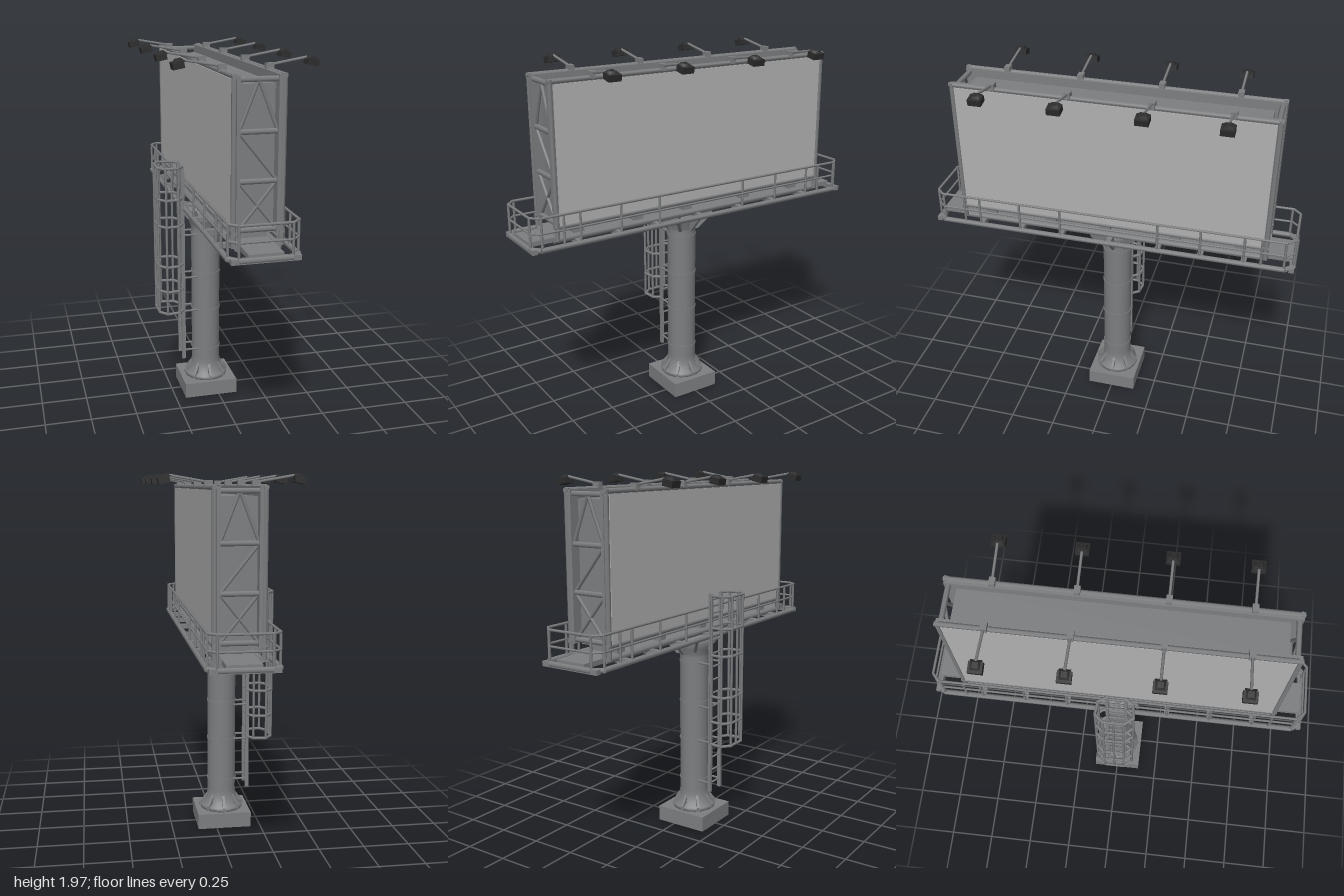
import * as THREE from 'three';

const mat = (name, color) => {
  const m = new THREE.MeshStandardMaterial({ color });
  m.name = name;
  return m;
};

export function createModel() {
  const steel = mat('steel grey', 0x7c7e80);
  const panel = mat('panel grey', 0xb0b0b0);
  const black = mat('lamp black', 0x2c2c2d);
  const model = new THREE.Group();
  model.name = 'billboard';

  const group = (name) => {
    const g = new THREE.Group();
    g.name = name;
    model.add(g);
    return g;
  };
  const add = (parent, name, geo, m, x = 0, y = 0, z = 0) => {
    const mesh = new THREE.Mesh(geo, m);
    mesh.name = name;
    mesh.position.set(x, y, z);
    parent.add(mesh);
    return mesh;
  };
  // Box given by its minimum and maximum corners
  const box = (parent, name, a, b, m = steel) =>
    add(parent, name, new THREE.BoxGeometry(b[0] - a[0], b[1] - a[1], b[2] - a[2]), m,
      (a[0] + b[0]) / 2, (a[1] + b[1]) / 2, (a[2] + b[2]) / 2);
  // Round bar between two points
  const bar = (parent, name, a, b, r, m = steel) => {
    const p = new THREE.Vector3(...a), q = new THREE.Vector3(...b);
    const d = q.clone().sub(p);
    const mesh = add(parent, name, new THREE.CylinderGeometry(r, r, d.length(), 6), m);
    mesh.position.copy(p).add(q).multiplyScalar(0.5);
    mesh.quaternion.setFromUnitVectors(new THREE.Vector3(0, 1, 0), d.normalize());
    return mesh;
  };
  const path = (parent, name, pts, r, closed) => {
    for (let i = 0; i < pts.length - (closed ? 0 : 1); i++)
      bar(parent, name, pts[i], pts[(i + 1) % pts.length], r);
  };

  // Footing and column
  const PX = -0.045;
  const column = group('column');
  box(column, 'footing', [PX - 0.15, 0, -0.14], [PX + 0.15, 0.085, 0.14]);
  const profile = [[0, 0.08], [0.12, 0.08], [0.12, 0.105], [0.092, 0.12], [0.082, 0.17], [0.08, 0.2],
    [0.08, 0.98], [0.09, 1.0], [0.095, 1.03], [0.125, 1.1], [0, 1.1]];
  const postGeo = new THREE.LatheGeometry(profile.map(p => new THREE.Vector2(...p)), 20);
  add(column, 'post', postGeo, steel, PX);
  for (const y of [0.26, 0.5, 0.72, 0.95])
    add(column, 'weldBand', new THREE.CylinderGeometry(0.083, 0.083, 0.012, 20), steel, PX, y);

  // Triangular gussets at the foot and head of the column
  const gusset = (pts) => new THREE.ExtrudeGeometry(
    new THREE.Shape(pts.map(p => new THREE.Vector2(...p))),
    { depth: 0.014, bevelEnabled: false }).translate(0, 0, -0.007);
  const footGusset = gusset([[0.07, 0.09], [0.125, 0.09], [0.125, 0.11], [0.08, 0.17], [0.07, 0.17]]);
  const headGusset = gusset([[0.07, 0.99], [0.085, 0.99], [0.165, 1.08], [0.165, 1.1], [0.07, 1.1]]);
  for (let i = 0; i < 8; i++) {
    add(column, 'footGusset', footGusset, steel, PX).rotation.y = i * Math.PI / 4;
    // The two sideways ones on the left are longer to meet the platform
    add(column, 'headGusset', headGusset, steel, PX + 0.02).rotation.y = i * Math.PI / 4;
  }

  // Display body with two faces
  const body = group('displayBody');
  box(body, 'core', [-0.092, 1.17, -0.79], [0.092, 1.87, 0.79]);
  for (const s of [-1, 1]) {
    box(body, 'sideWall', [s > 0 ? 0.09 : -0.122, 1.18, -0.845], [s > 0 ? 0.122 : -0.09, 1.915, 0.845]);
    const face = box(body, 'displayFace', [-0.003, 1.2, -0.823], [0.003, 1.897, 0.823], panel);
    face.position.x = s * 0.124;
    for (const y of [1.19, 1.91])
      bar(body, 'faceFrame', [s * 0.117, y, -0.85], [s * 0.117, y, 0.85], 0.013);
    for (const z of [-0.837, 0.837])
      bar(body, 'faceFrame', [s * 0.117, 1.12, z], [s * 0.117, 1.92, z], 0.014);
  }

  // End trusses
  const LEVELS = [1.2, 1.43, 1.66, 1.895];
  for (const s of [-1, 1]) {
    const truss = group('endTruss');
    const z = s * 0.825, w = 0.092;
    const strut = (x0, y0, x1, y1, r = 0.009) => bar(truss, 'strut', [x0, y0, z], [x1, y1, z], r);
    for (const y of LEVELS) strut(-w, y, w, y, 0.014);
    strut(-w, LEVELS[0], w, LEVELS[1]);
    strut(w, LEVELS[0], -w, LEVELS[1]);
    strut(w, LEVELS[1], -w, LEVELS[2]);
    strut(-w, LEVELS[2], 0, LEVELS[3]);
    strut(w, LEVELS[2], 0, LEVELS[3]);
  }

  // Platform under the display
  const platform = group('platform');
  box(platform, 'deck', [-0.085, 1.105, -0.98], [0.085, 1.13, 0.98]);
  for (const x of [-0.1, 0.1])
    bar(platform, 'longBeam', [x, 1.12, -0.85], [x, 1.12, 0.85], 0.018);
  for (const z of [-0.98, -0.73, -0.5, -0.27, 0, 0.27, 0.5, 0.73, 0.98])
    box(platform, 'crossBeam', [-0.17, 1.09, z - 0.014], [0.165, 1.115, z + 0.014]);
  for (const z of [-0.7, -0.35, 0.04, 0.35, 0.7])
    box(platform, 'bodySupport', [-0.08, 1.12, z - 0.03], [0.08, 1.18, z + 0.03]);

  // Guard rail: chamfered loops at three heights, with posts
  const rail = group('guardRail');
  const X0 = -0.172, X1 = 0.165, Z = 0.985, C = 0.04;
  const loop = (y) => [[X0, -Z + C], [X0 + C, -Z], [X1 - C, -Z], [X1, -Z + C],
    [X1, Z - C], [X1 - C, Z], [X0 + C, Z], [X0, Z - C]].map(([x, z]) => [x, y, z]);
  path(rail, 'toeRail', loop(1.105), 0.015, true);
  path(rail, 'middleRail', loop(1.19), 0.006, true);
  path(rail, 'topRail', loop(1.27), 0.007, true);
  for (const x of [X0, X1])
    for (const z of [-0.94, -0.82, -0.73, -0.5, -0.27, 0.27, 0.5, 0.73, 0.82, 0.94])
      bar(rail, 'railPost', [x, 1.1, z], [x, 1.27, z], 0.007);
  for (const x of [X0 + C, X1 - C])
    for (const z of [-Z, Z])
      bar(rail, 'railPost', [x, 1.1, z], [x, 1.27, z], 0.007);

  // Lamps on arms along both top edges
  for (const s of [-1, 1]) for (const z of [-0.615, -0.215, 0.215, 0.615]) {
    const lamp = group('lamp');
    add(lamp, 'armFoot', new THREE.BoxGeometry(0.04, 0.035, 0.03), steel, s * 0.115, 1.925, z);
    bar(lamp, 'arm', [s * 0.11, 1.932, z], [s * 0.3, 1.965, z], 0.007);
    const head = add(lamp, 'lampHead', new THREE.BoxGeometry(0.055, 0.032, 0.068), black, s * 0.325, 1.943, z);
    head.rotation.z = -s * 0.2;
    const cap = add(lamp, 'lampCap', new THREE.CylinderGeometry(0.02, 0.04, 0.018, 4, 1, false, Math.PI / 4),
      black, s * 0.32, 1.963, z);
    cap.rotation.z = -s * 0.2;
  }

  // Ladder behind the post
  const ladder = group('ladder');
  const LX = -0.185, LZ = 0.05;
  for (const z of [-LZ, LZ])
    box(ladder, 'ladderRail', [LX - 0.01, 0.21, z - 0.008], [LX + 0.01, 1.34, z + 0.008]);
  for (let y = 0.26; y < 1.32; y += 0.075)
    bar(ladder, 'rung', [LX, y, -LZ], [LX, y, LZ], 0.006);
  for (const y of [0.26, 0.5, 0.7, 0.95])
    for (const z of [-LZ, LZ])
      bar(ladder, 'ladderBracket', [LX, y, z], [PX - 0.06, y, z], 0.006);

  // Safety cage
  const cage = group('ladderCage');
  const ring = [[-0.185, -0.05], [-0.215, -0.092], [-0.285, -0.1], [-0.322, -0.055],
    [-0.322, 0.055], [-0.285, 0.1], [-0.215, 0.092], [-0.185, 0.05]];
  for (const y of [0.51, 0.64, 0.785, 1.015, 1.165, 1.34])
    path(cage, 'hoop', ring.map(([x, z]) => [x, y, z]), 0.008, false);
  for (const [x, z] of [...ring.slice(1, 7), [-0.322, 0]])
    bar(cage, 'cageBar', [x, 0.505, z], [x, 1.345, z], 0.007);

  return model;
}
